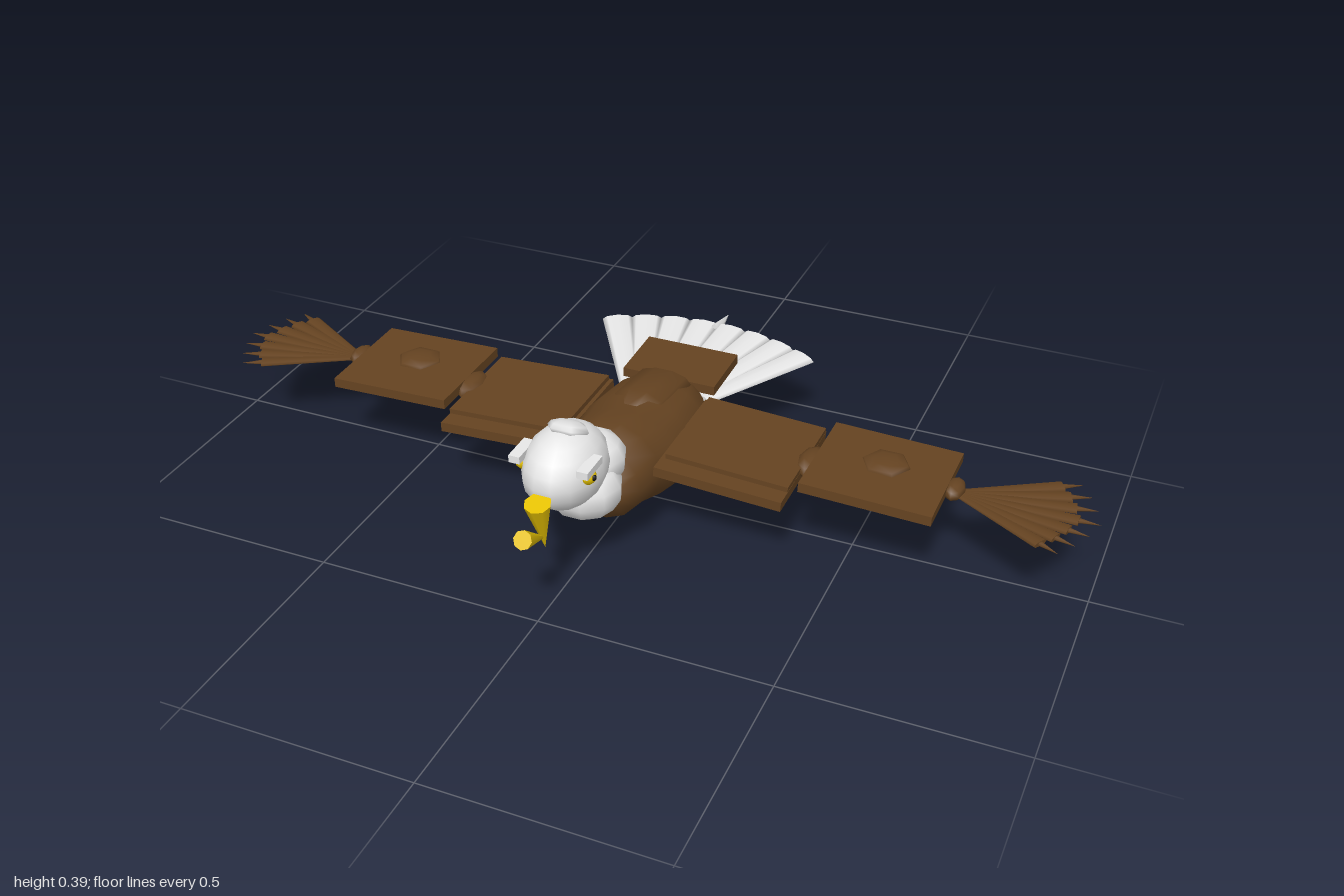
import * as THREE from 'three';

const material = (name, color) => {
  const m = new THREE.MeshStandardMaterial({ color });
  m.name = name;
  return m;
};

export function createModel() {
  const brown = material('brown plumage', 0x654321);
  const white = material('white plumage', 0xf5f5f5);
  const yellow = material('yellow horn', 0xffd700);
  const black = material('black pupil', 0x111111);
  const bird = new THREE.Group();
  bird.name = 'bird';

  const add = (name, geometry, mat, pos = [0, 0, 0], rot = [0, 0, 0], parent = bird) => {
    const mesh = new THREE.Mesh(geometry, mat);
    mesh.name = name;
    mesh.position.set(...pos);
    mesh.rotation.set(...rot);
    parent.add(mesh);
    return mesh;
  };
  const ball = (name, mat, pos, radii, w = 12, h = 8, rot) =>
    add(name, new THREE.SphereGeometry(1, w, h).scale(...radii), mat, pos, rot);
  const box = (name, mat, pos, size, rot) => add(name, new THREE.BoxGeometry(...size), mat, pos, rot);

  // Tapered round rod between two points
  const rod = (name, mat, from, to, r0, r1, sides = 8) => {
    const a = new THREE.Vector3(...from), b = new THREE.Vector3(...to);
    const dir = b.clone().sub(a);
    const mesh = add(name, new THREE.CylinderGeometry(r1, r0, dir.length(), sides), mat);
    mesh.position.copy(a).add(b).multiplyScalar(0.5);
    mesh.quaternion.setFromUnitVectors(new THREE.Vector3(0, 1, 0), dir.normalize());
    return mesh;
  };

  // Skin over elliptical rings [z, centre y, radius x, radius y], front to back
  const loft = (name, mat, rings, sides = 14) => {
    const first = rings[0], last = rings[rings.length - 1];
    const all = [[first[0], first[1], 0, 0], ...rings, [last[0], last[1], 0, 0]];
    const points = [], index = [];
    all.forEach(([z, y, rx, ry], i) => {
      for (let j = 0; j < sides; j++) {
        const t = (j / sides) * Math.PI * 2;
        points.push(Math.cos(t) * rx, y + Math.sin(t) * ry, z);
        if (i === all.length - 1) continue;
        const a = i * sides + j, b = i * sides + (j + 1) % sides;
        index.push(a, a + sides, b, b, a + sides, b + sides);
      }
    });
    const g = new THREE.BufferGeometry();
    g.setAttribute('position', new THREE.Float32BufferAttribute(points, 3));
    g.setIndex(index);
    g.computeVertexNormals();
    return add(name, g, mat);
  };

  // Flattened feather lying along +x of a group turned by yaw, with optional pointed tip
  const feather = (name, mat, origin, yaw, start, length, r0, r1, thick, tip = 0, lift = 0) => {
    const g = new THREE.Group();
    g.name = name;
    g.position.set(...origin);
    g.rotation.set(0, yaw, lift, 'YXZ');
    bird.add(g);
    const vane = new THREE.CylinderGeometry(r1, r0, length, 8).scale(thick, 1, 1);
    add(name + 'Vane', vane, mat, [start + length / 2, 0, 0], [0, 0, -Math.PI / 2], g);
    if (tip) {
      const point = new THREE.ConeGeometry(r1 * 0.4, tip, 6).scale(0.6, 1, 1);
      add(name + 'Tip', point, mat, [start + length + tip / 2, 0, 0], [0, 0, -Math.PI / 2], g);
    }
  };

  // Body and back
  loft('body', brown, [
    [0.262, 0.165, 0.075, 0.04], [0.215, 0.165, 0.102, 0.09], [0.14, 0.165, 0.115, 0.104],
    [0.06, 0.142, 0.13, 0.108], [0, 0.141, 0.135, 0.111], [-0.1, 0.143, 0.122, 0.098],
    [-0.155, 0.143, 0.104, 0.082], [-0.2, 0.14, 0.082, 0.06], [-0.242, 0.157, 0.03, 0.02]]);
  loft('mantle', brown, [
    [0.05, 0.21, 0.04, 0.036], [-0.01, 0.214, 0.066, 0.048], [-0.155, 0.21, 0.064, 0.026]], 10);

  // Neck and head
  ball('lowerNeck', white, [0, 0.19, 0.275], [0.085, 0.07, 0.078], 10, 7);
  ball('upperNeck', white, [0, 0.235, 0.235], [0.075, 0.062, 0.075], 10, 7);
  ball('head', white, [0, 0.29, 0.355], [0.083, 0.085, 0.112], 14, 10);
  ball('crown', white, [0, 0.365, 0.34], [0.045, 0.018, 0.042], 6, 6, [-0.4, 0, 0]);

  // Beak
  rod('upperBeak', yellow, [0, 0.276, 0.483], [0, 0.155, 0.456], 0.028, 0.0001);
  rod('lowerBeak', yellow, [0, 0.234, 0.551], [0, 0.178, 0.452], 0.02, 0.0001);

  // Tail
  box('tailCovert', brown, [0, 0.192, -0.255], [0.22, 0.022, 0.15], [0.03, 0, 0]);
  for (let i = 0; i < 8; i++) {
    const angle = (i - 3.5) * 8.2 * Math.PI / 180;
    feather('tailFeather', white, [0, 0.17, 0], Math.PI / 2 + angle, 0.19, 0.3, 0.022, 0.036, 0.26, 0, 0.015);
  }
  rod('tailSpike', white, [0, 0.172, -0.47], [0, 0.17, -0.565], 0.017, 0.0001, 6);

  for (const s of [1, -1]) {
    // Eyes and brows
    ball('eye', yellow, [s * 0.07, 0.308, 0.4], [0.017, 0.018, 0.018], 8, 6);
    ball('pupil', black, [s * 0.083, 0.309, 0.403], [0.006, 0.007, 0.007], 6, 5);
    box('brow', white, [s * 0.073, 0.329, 0.4], [0.024, 0.016, 0.07]);

    // Legs and feet
    rod('leg', yellow, [s * 0.045, 0.055, -0.03], [s * 0.045, 0.028, -0.06], 0.02, 0.014);
    loft('foot', yellow, [
      [-0.02, 0.022, 0.02, 0.012], [-0.078, 0.019, 0.031, 0.018], [-0.135, 0.021, 0.02, 0.01]], 8)
      .position.x = s * 0.042;

    // Inner wing with raised coverts
    box('innerWing', brown, [s * 0.25, 0.181, 0.022], [0.28, 0.022, 0.295], [0, 0, -s * 0.05]);
    box('innerCoverts', brown, [s * 0.255, 0.192, 0.003], [0.27, 0.022, 0.25], [0, 0, -s * 0.05]);
    ball('elbow', brown, [s * 0.4, 0.188, 0.005], [0.03, 0.022, 0.055], 8, 6);

    // Outer wing
    box('outerWing', brown, [s * 0.548, 0.193, -0.008], [0.28, 0.022, 0.255], [0, 0, -s * 0.03]);
    ball('wingCovert', brown, [s * 0.55, 0.2, -0.028], [0.055, 0.017, 0.055], 6, 6);
    ball('wrist', brown, [s * 0.7, 0.186, -0.018], [0.022, 0.018, 0.038], 8, 6);

    // Primary feathers fanned from the wrist
    for (let i = 0; i < 7; i++) {
      const k = i - 3;
      const angle = k * 9.5 * Math.PI / 180;
      const length = 0.235 - Math.abs(k) * 0.009;
      feather('primaryFeather', brown, [s * 0.7, 0.18, -0.015], s > 0 ? angle : Math.PI - angle,
        0.02, length, 0.01, 0.019, 0.3, 0.045);
    }
  }
  return bird;
}
